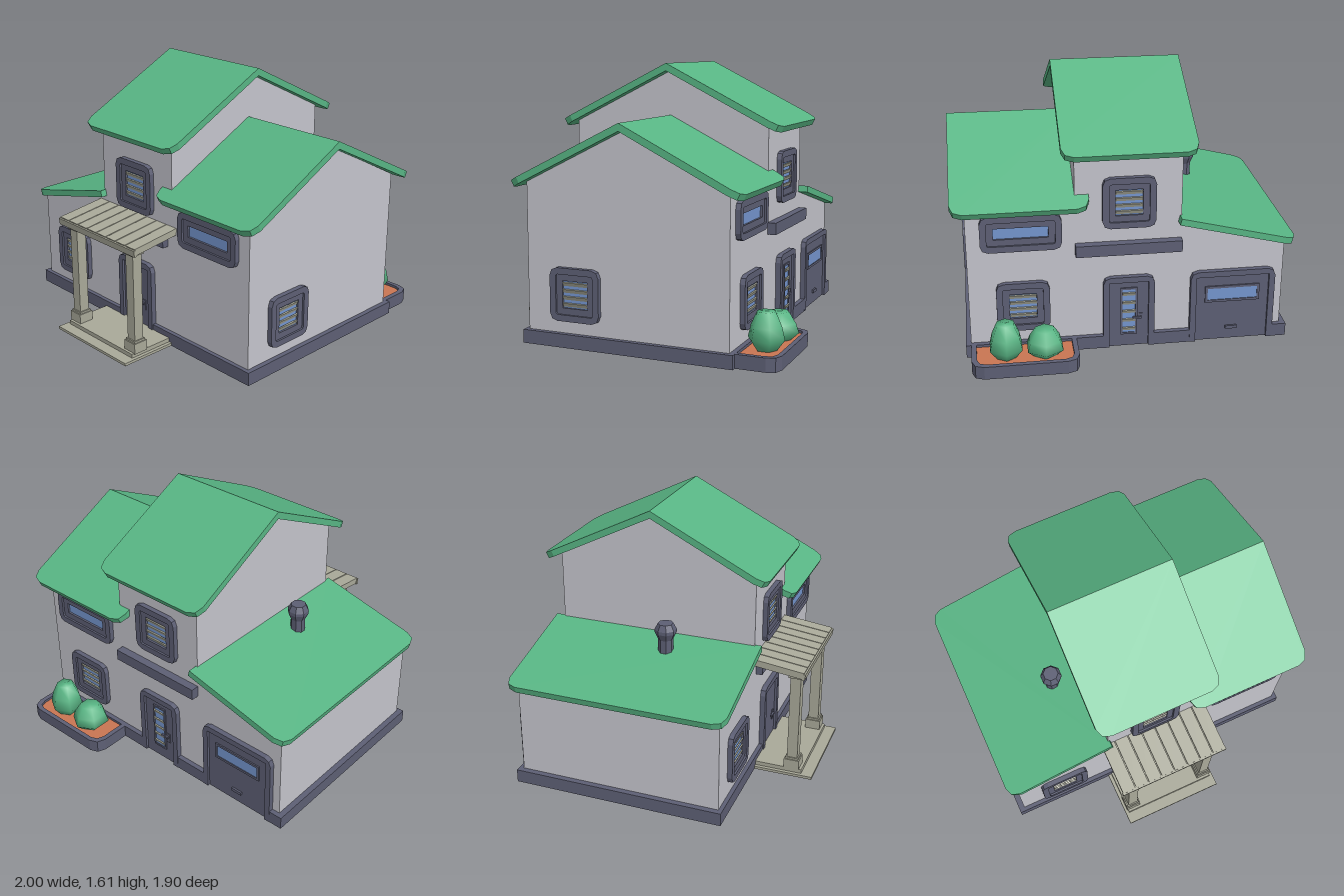
import * as THREE from 'three';

const mat = (name, color) => {
  const m = new THREE.MeshStandardMaterial({ color });
  m.name = name;
  return m;
};

export function createModel() {
  const wall = mat('wallGrey', 0xc4c4cc), slate = mat('slate', 0x5d5f74), green = mat('roofGreen', 0x58b584);
  const wood = mat('paleWood', 0xa9a999), glass = mat('glassBlue', 0x7596cf), soil = mat('terracotta', 0xc97552);

  const house = new THREE.Group();
  house.name = 'house';

  const add = (parent, name, geo, m, x = 0, y = 0, z = 0) => {
    const mesh = new THREE.Mesh(geo, m);
    mesh.name = name;
    mesh.position.set(x, y, z);
    parent.add(mesh);
    return mesh;
  };
  const box = (parent, name, m, x0, x1, y0, y1, z0, z1) =>
    add(parent, name, new THREE.BoxGeometry(x1 - x0, y1 - y0, z1 - z0), m, (x0 + x1) / 2, (y0 + y1) / 2, (z0 + z1) / 2);
  const extrude = (shape, depth) => new THREE.ExtrudeGeometry(shape, { depth, bevelEnabled: false });
  const poly = (pts) => pts.map(([x, y]) => new THREE.Vector2(x, y));

  // Rectangle outline with cut corners: cb at the bottom, ct at the top
  const outline = (x0, y0, x1, y1, cb = 0, ct = 0) => {
    const k = 0.28, p = [];
    if (cb) p.push([x0, y0 + cb], [x0 + k * cb, y0 + k * cb], [x0 + cb, y0], [x1 - cb, y0], [x1 - k * cb, y0 + k * cb], [x1, y0 + cb]);
    else p.push([x0, y0], [x1, y0]);
    if (ct) p.push([x1, y1 - ct], [x1 - k * ct, y1 - k * ct], [x1 - ct, y1], [x0 + ct, y1], [x0 + k * ct, y1 - k * ct], [x0, y1 - ct]);
    else p.push([x1, y1], [x0, y1]);
    return poly(p);
  };
  const ring = (outer, inner, depth) => {
    const s = new THREE.Shape(outer);
    s.holes.push(new THREE.Path(inner));
    return extrude(s, depth);
  };
  const place = (name, x, y, z, turn) => {
    const g = new THREE.Group();
    g.name = name;
    g.position.set(x, y, z);
    g.rotation.y = turn;
    house.add(g);
    return g;
  };

  // Walls
  const FRONT = 0.56, BACK = -0.68, RIDGE = -0.065;
  const gableWall = (name, x0, x1, eave, apex) => {
    const s = new THREE.Shape(poly([[-FRONT, 0.005], [-BACK, 0.005], [-BACK, eave], [-RIDGE, apex], [-FRONT, eave]]));
    add(house, name, extrude(s, x1 - x0).rotateY(Math.PI / 2), wall, x0, 0, 0);
  };
  gableWall('towerWalls', -0.32, 0.3, 1.255, 1.565);
  gableWall('rightWingWalls', 0.295, 0.92, 0.945, 1.258);
  const wing = new THREE.Shape(poly([[-0.94, 0.005], [-0.315, 0.005], [-0.315, 0.795], [-0.94, 0.64]]));
  add(house, 'leftWingWalls', extrude(wing, FRONT - BACK), wall, 0, 0, BACK);

  // Foundation, notched for the doors
  const base = new THREE.Shape(poly([
    [-0.975, -0.585], [-0.165, -0.585], [-0.165, -0.562], [0.14, -0.562], [0.14, -0.585], [0.95, -0.585],
    [0.95, 0.71], [0.14, 0.71], [0.14, 0.682], [-0.165, 0.682], [-0.165, 0.71],
    [-0.38, 0.71], [-0.38, 0.682], [-0.89, 0.682], [-0.89, 0.71], [-0.975, 0.71]]));
  add(house, 'foundation', extrude(base, 0.08).rotateX(-Math.PI / 2), slate);

  // Roof slabs: hinge at the top edge, sloping down towards local +z
  const slab = (parent, name, width, length, angle) => {
    const geo = extrude(new THREE.Shape(outline(-width / 2, -length, width / 2, 0, 0.07)), 0.04);
    geo.translate(0, 0, -0.04).rotateX(angle - Math.PI / 2);
    return add(parent, name, geo, green);
  };
  const gableRoof = (name, x0, x1, ridge) => {
    const g = place(name, (x0 + x1) / 2, ridge, RIDGE, 0);
    for (const turn of [0, Math.PI]) slab(g, 'roofSlope', x1 - x0, 0.792, Math.atan(0.5)).rotation.y = turn;
  };
  gableRoof('towerRoof', -0.4, 0.375, 1.608);
  gableRoof('rightWingRoof', 0.22, 1, 1.3);
  slab(place('leftWingRoof', -0.31, 0.832, -0.07, -Math.PI / 2), 'roofSlope', 1.34, 0.711, Math.atan(0.25));

  // Glass with optional slats, centred in its parent
  const pane = (g, w, h, y, z, slats) => {
    box(g, 'glass', glass, -w / 2, w / 2, y - h / 2, y + h / 2, z, z + 0.004);
    for (let i = 0; i < slats; i++) {
      const slat = add(g, 'slat', new THREE.BoxGeometry(w - 0.004, 0.022, 0.008), wood, 0, y - h / 2 + (i + 0.5) * h / slats, z + 0.009);
      slat.rotation.x = 0.4;
    }
  };

  // Windows
  const windowUnit = (name, x, y, z, turn, w, h, slats) => {
    const g = place(name, x, y, z, turn);
    const rect = (d, c) => outline(-w / 2 + d, -h / 2 + d, w / 2 - d, h / 2 - d, c, c);
    add(g, 'outerFrame', ring(rect(0, 0.045), rect(0.038, 0.012), 0.03), slate);
    add(g, 'innerFrame', ring(rect(0.036, 0), rect(0.076, 0), 0.018), slate);
    pane(g, w - 0.15, h - 0.15, 0, 0.001, slats);
  };
  const PI = Math.PI;
  windowUnit('leftWingWindow', -0.637, 0.313, FRONT, 0, 0.31, 0.31, 4);
  windowUnit('sideWindow', 0.92, 0.31, 0.248, PI / 2, 0.31, 0.31, 4);
  windowUnit('backWindow', 0.607, 0.313, BACK, PI, 0.31, 0.31, 4);
  for (const [z, turn] of [[FRONT, 0], [BACK, PI]]) {
    windowUnit('towerWindow', -0.012, 0.935, z, turn, 0.31, 0.31, 4);
    windowUnit('slitWindow', 0.608, 0.782, z, turn, 0.465, 0.22, 0);
  }

  // Doors: frame open at the bottom, recessed panel
  const door = (name, x, z, turn, w) => {
    const g = place(name, x, 0, z, turn);
    const h = 0.465, a = w / 2, d = 0.036, c = 0.045;
    const frame = new THREE.Shape(poly([[-a, 0], [-a + d, 0], [-a + d, h - d], [a - d, h - d], [a - d, 0], [a, 0],
      [a, h - c], [a - 0.28 * c, h - 0.28 * c], [a - c, h], [-a + c, h], [-a + 0.28 * c, h - 0.28 * c], [-a, h - c]]));
    add(g, 'doorFrame', extrude(frame, 0.032), slate);
    box(g, 'doorPanel', slate, -a + d - 0.002, a - d + 0.002, 0, h - d + 0.002, 0, 0.016);
    return g;
  };
  const lever = (g) => {
    box(g, 'handlePlate', slate, 0.055, 0.083, 0.15, 0.215, 0.016, 0.021);
    box(g, 'handleLever', slate, 0.022, 0.075, 0.184, 0.197, 0.021, 0.032);
  };
  lever(door('frontDoor', -0.0125, FRONT, 0, 0.305));
  const backDoor = door('backDoor', -0.0125, BACK, PI, 0.305);
  lever(backDoor);
  add(backDoor, 'paneFrame', ring(outline(-0.05, 0.08, 0.05, 0.39), outline(-0.038, 0.092, 0.038, 0.378), 0.024), slate);
  pane(backDoor, 0.08, 0.29, 0.235, 0.015, 5);
  const garage = door('garageDoor', -0.635, BACK, PI, 0.51);
  add(garage, 'paneFrame', ring(outline(-0.165, 0.257, 0.165, 0.363), outline(-0.15, 0.272, 0.15, 0.348), 0.024), slate);
  pane(garage, 0.304, 0.08, 0.31, 0.015, 0);
  box(garage, 'garageHandle', slate, -0.035, 0.035, 0.07, 0.09, 0.016, 0.028);

  // Ledges above the doors
  box(house, 'backLedge', slate, -0.32, 0.3, 0.62, 0.69, -0.73, BACK);
  box(house, 'frontLedge', slate, -0.28, 0.26, 0.625, 0.69, FRONT, 0.6);

  // Porch
  const porch = place('porch', -0.0125, 0, 0, 0);
  box(porch, 'lowerStep', wood, -0.322, 0.322, 0.003, 0.02, FRONT, 0.945);
  box(porch, 'upperStep', wood, -0.3, 0.3, 0.02, 0.045, FRONT, 0.875);
  for (const s of [-1, 1]) {
    const post = new THREE.Group();
    post.name = 'porchPost';
    post.position.set(s * 0.26, 0, 0.812);
    porch.add(post);
    box(post, 'postBase', wood, -0.047, 0.047, 0.04, 0.105, -0.047, 0.047);
    box(post, 'postCollar', wood, -0.04, 0.04, 0.105, 0.117, -0.04, 0.04);
    box(post, 'postShaft', wood, -0.032, 0.032, 0.117, 0.66, -0.032, 0.032);
    box(post, 'postCap', wood, -0.042, 0.042, 0.655, 0.69, -0.042, 0.042);
  }
  box(porch, 'porchBeam', wood, -0.3, 0.3, 0.665, 0.69, 0.775, 0.85);
  const canopy = new THREE.Group();
  canopy.name = 'porchCanopy';
  canopy.position.set(0, 0.719, 0.72);
  canopy.rotation.x = 0.125;
  porch.add(canopy);
  box(canopy, 'canopyDeck', wood, -0.345, 0.345, -0.02, 0.012, -0.16, 0.155);
  const planks = 8, pitch = 0.7 / planks;
  for (let i = 0; i < planks; i++) {
    const x = -0.35 + i * pitch;
    box(canopy, 'canopyPlank', wood, x + 0.003, x + pitch - 0.003, -0.004, 0.022, -0.165, 0.152);
  }
  box(canopy, 'canopyFascia', wood, -0.35, 0.35, -0.024, 0.016, 0.145, 0.162);

  // Chimney
  const stack = poly([[0.045, 0.72], [0.045, 0.862], [0.065, 0.905], [0.065, 0.925], [0.046, 0.962], [0, 0.962]]);
  const chimney = new THREE.LatheGeometry(stack, 8, PI / 8).toNonIndexed();
  chimney.computeVertexNormals();
  add(house, 'chimney', chimney, slate, -0.475, 0, 0.06);

  // Planter with two bushes
  const rim = ring(outline(0.3, 0.66, 0.92, 0.953, 0, 0.07), outline(0.33, 0.7, 0.89, 0.925, 0, 0.055), 0.08);
  add(house, 'planterRim', rim.rotateX(-PI / 2), slate);
  const bed = new THREE.Shape(outline(0.325, 0.69, 0.895, 0.93, 0, 0.055));
  add(house, 'planterSoil', extrude(bed, 0.06).rotateX(-PI / 2), soil, 0, 0.004, 0);
  const bush = (x, r, h) => {
    const p = poly([[0, 0], [0.55 * r, 0], [r, 0.3 * h], [0.85 * r, 0.62 * h], [0.5 * r, h], [0, h]]);
    add(house, 'bush', new THREE.LatheGeometry(p, 6), green, x, 0.06, -0.82);
  };
  bush(0.495, 0.118, 0.165);
  bush(0.72, 0.107, 0.22);

  return house;
}
